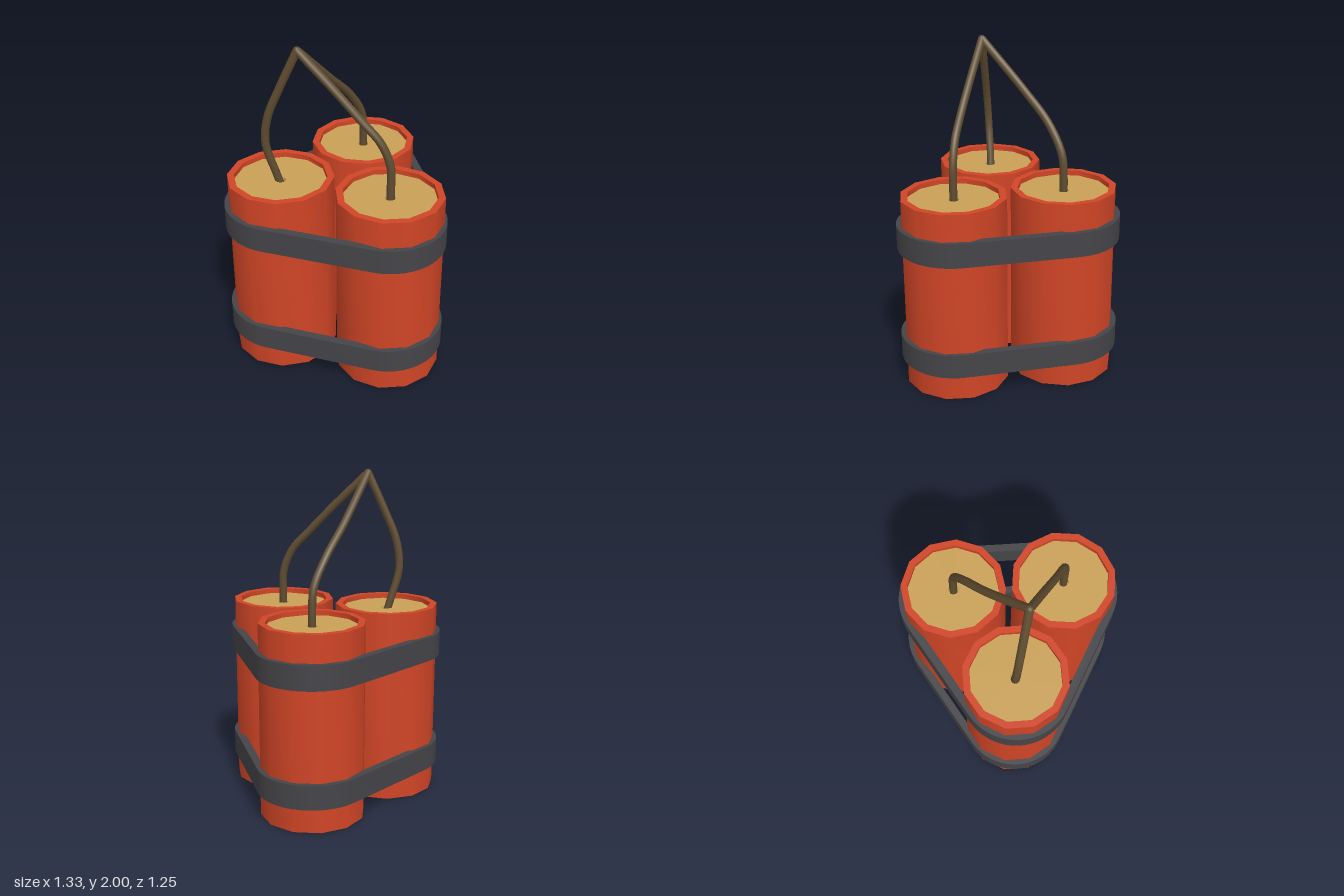
import * as THREE from 'three';
import { toCreasedNormals } from 'three/addons/utils/BufferGeometryUtils.js';

const material = (name, color) => {
  const m = new THREE.MeshStandardMaterial({ color });
  m.name = name;
  return m;
};

const v2 = (list) => list.map(([x, y]) => new THREE.Vector2(x, y));

// Closed outline that wraps a circle of radius r around each of the three sticks
function wrapOutline(target, r) {
  const tilt = Math.atan2(0.33, 0.58);
  target.absarc(0.33, -0.285, r, -Math.PI / 2, tilt, false);
  target.absarc(0, 0.295, r, tilt, Math.PI - tilt, false);
  target.absarc(-0.33, -0.285, r, Math.PI - tilt, Math.PI * 1.5, false);
  target.closePath();
  return target;
}

export function createModel() {
  const red = material('red paper', 0xd04526);
  const tan = material('tan filling', 0xc9a157);
  const dark = material('dark strap', 0x454549);
  const brown = material('brown fuse', 0x5f4c30);

  const model = new THREE.Group();
  model.name = 'stickBundle';
  const add = (name, geometry, mat, parent = model) => {
    const mesh = new THREE.Mesh(geometry, mat);
    mesh.name = name;
    parent.add(mesh);
    return mesh;
  };

  // Casing with a raised rim at both ends
  const R = 0.315, inner = 0.274, H = 1.18, inset = 0.03;
  const casing = v2([[inner, inset], [inner, 0], [R, 0], [R, H], [inner, H], [inner, H - inset]]);
  // Filling with a small fuse hole at both ends
  const hole = 0.031, low = inset, high = H - inset;
  const filling = v2([
    [0, low + 0.03], [hole, low + 0.03], [hole, low], [inner, low],
    [inner, high], [hole, high], [hole, high - 0.03], [0, high - 0.03],
  ]);

  // Three sticks, each turned a little differently, with the path of its fuse
  const apex = [-0.205, 1.978, 0.28];
  const sticks = [
    { name: 'right', x: -0.33, z: 0.28, turn: 15, path: [
      [-0.33, 1.11, 0.275], [-0.355, 1.2, 0.285], [-0.402, 1.4, 0.31],
      [-0.38, 1.57, 0.312], [-0.31, 1.745, 0.3], apex] },
    { name: 'left', x: 0.333, z: 0.28, turn: 7.5, path: [
      [0.335, 1.11, 0.28], [0.335, 1.22, 0.28], [0.331, 1.35, 0.28], [0.275, 1.49, 0.285],
      [0.165, 1.61, 0.288], [0.01, 1.77, 0.285], apex] },
    { name: 'back', x: 0, z: -0.29, turn: 23.5, path: [
      [0, 1.11, -0.29], [0, 1.22, -0.29], [-0.006, 1.37, -0.275], [-0.055, 1.535, -0.18],
      [-0.12, 1.7, -0.015], apex] },
  ];
  for (const s of sticks) {
    const stick = new THREE.Group();
    stick.name = s.name + 'Stick';
    stick.position.set(s.x, 0, s.z);
    model.add(stick);
    const turned = (profile) => toCreasedNormals(
      new THREE.LatheGeometry(profile, 12, THREE.MathUtils.degToRad(s.turn)), 0.8);
    add('casing', turned(casing), red, stick);
    add('filling', turned(filling), tan, stick);

    const curve = new THREE.CatmullRomCurve3(s.path.map((p) => new THREE.Vector3(...p)));
    add(s.name + 'Fuse', new THREE.TubeGeometry(curve, 28, 0.024, 10), brown);
  }

  // Joint where the fuses meet
  add('fuseJoint', new THREE.SphereGeometry(0.023, 10, 8), brown).position.set(...apex);

  // Two straps around the bundle
  const outline = wrapOutline(new THREE.Shape(), 0.335);
  outline.holes.push(wrapOutline(new THREE.Path(), 0.287));
  const strap = toCreasedNormals(new THREE.ExtrudeGeometry(outline, {
    depth: 0.15, bevelEnabled: false, curveSegments: 12,
  }).rotateX(-Math.PI / 2), 0.6);
  add('lowerStrap', strap, dark).position.y = 0.155;
  add('upperStrap', strap, dark).position.y = 0.865;

  return model;
}
